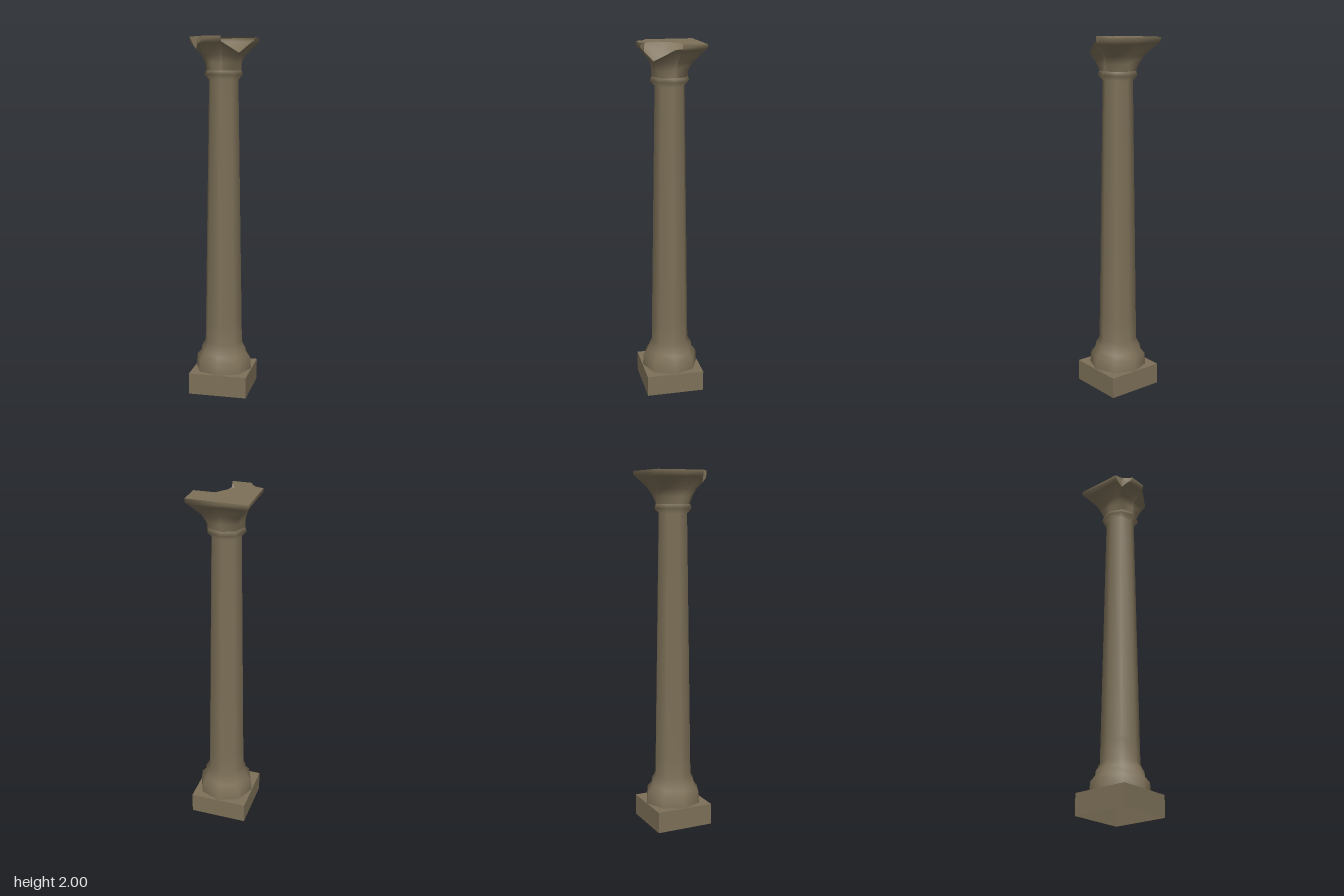
import * as THREE from 'three';

const HALF = 0.165; // half width of plinth and abacus
const RAD = Math.PI / 180;

const stone = new THREE.MeshStandardMaterial({ color: 0x7d7058, side: THREE.DoubleSide });
stone.name = 'weathered stone';

function part(name, geometry) {
  const mesh = new THREE.Mesh(geometry, stone);
  mesh.name = name;
  return mesh;
}

// Flat upward-facing plate from [x, z] corners, with an optional hole
function plate(corners, y, hole) {
  const toPoints = (list) => list.map(([x, z]) => new THREE.Vector2(x, -z));
  const shape = new THREE.Shape(toPoints(corners));
  if (hole) shape.holes.push(new THREE.Path(toPoints(hole)));
  return new THREE.ShapeGeometry(shape).rotateX(-Math.PI / 2).translate(0, y, 0);
}

// Capital sections: height, half width, squareness (0 octagon, 1 square)
const LEVELS = [
  [1.82, 0.1, 0], [1.86, 0.1, 0.4], [1.9, 0.1, 1],
  [1.965, 0.152, 1], [1.98, HALF, 1], [2, HALF, 1],
];

// Point on the capital wall at an angle (from +x toward +z) and a height
function wallPoint(deg, y) {
  let k = 0;
  while (k < LEVELS.length - 2 && y > LEVELS[k + 1][0]) k++;
  const [a, b] = [LEVELS[k], LEVELS[k + 1]];
  const t = (y - a[0]) / (b[0] - a[0]);
  const half = THREE.MathUtils.lerp(a[1], b[1], t);
  const square = THREE.MathUtils.lerp(a[2], b[2], t);
  const c = Math.cos(deg * RAD), s = Math.sin(deg * RAD);
  const offset = (((deg % 45) + 45) % 45) - 22.5;
  const octagon = Math.cos(22.5 * RAD) / Math.cos(offset * RAD);
  const r = half * THREE.MathUtils.lerp(octagon, 1 / Math.max(Math.abs(c), Math.abs(s)), square);
  return [r * c, y, r * s];
}

// Wall rim: angle and height, dipping at the large break and the small chip
const RIM = [
  [-12, 2], [-11.5, 1.975], [0, 1.975], [45, 1.912], [82, 1.97], [83, 2], [90, 2],
  [116.6, 2], [126, 1.96], [137, 1.932], [148, 2], [180, 2], [225, 2], [270, 2], [315, 2], [348, 2],
];

function capitalWall() {
  const positions = [], index = [], rows = LEVELS.length, n = RIM.length - 1;
  for (let i = 0; i < n; i++) {
    const [deg, top] = RIM[i];
    for (const [y] of LEVELS) positions.push(...wallPoint(deg, Math.min(y, top)));
    for (let j = 0; j < rows - 1; j++) {
      const a = i * rows + j, b = ((i + 1) % n) * rows + j;
      index.push(a, a + 1, b, b, a + 1, b + 1);
    }
  }
  const g = new THREE.BufferGeometry();
  g.setAttribute('position', new THREE.Float32BufferAttribute(positions, 3));
  g.setIndex(index);
  g.computeVertexNormals();
  return g;
}

// Sloping fracture between the chipped wall rim and the top face
function chipFace() {
  const B = wallPoint(148, 2), A = wallPoint(116.6, 2);
  const R1 = wallPoint(137, 1.932), R2 = wallPoint(126, 1.96);
  const P = [-0.117, 2, 0.115], Q = [-0.098, 2, 0.138];
  const g = new THREE.BufferGeometry();
  const corners = [B, R1, P, P, R1, R2, P, R2, Q, Q, R2, A];
  g.setAttribute('position', new THREE.Float32BufferAttribute(corners.flat(), 3));
  g.computeVertexNormals();
  return g;
}

export function createModel() {
  const column = new THREE.Group();
  column.name = 'brokenColumn';

  // Hollow square plinth, open underneath
  const sides = new THREE.CylinderGeometry(HALF * Math.SQRT2, HALF * Math.SQRT2, 0.12, 4, 1, true)
    .rotateY(Math.PI / 4).translate(0, 0.06, 0).toNonIndexed();
  sides.computeVertexNormals();
  column.add(part('plinthSides', sides));
  const square = [[-HALF, -HALF], [HALF, -HALF], [HALF, HALF], [-HALF, HALF]];
  const octagon = Array.from({ length: 8 }, (_, i) =>
    [0.163 * Math.cos(i * 45 * RAD), 0.163 * Math.sin(i * 45 * RAD)]);
  column.add(part('plinthTop', plate(square, 0.12, octagon)));

  // Eight-sided base moulding, tapering shaft and neck ring
  const profile = [
    [0.163, 0.12], [0.157, 0.185], [0.132, 0.215], [0.129, 0.24], [0.108, 0.28],
    [0.106, 0.4], [0.083, 1.77], [0.109, 1.797], [0.1, 1.82],
  ].map(([r, y]) => new THREE.Vector2(r, y));
  column.add(part('shaft', new THREE.LatheGeometry(profile, 8)));

  // Flared capital with a broken corner
  const capital = new THREE.Group();
  capital.name = 'capital';
  capital.add(part('capitalWall', capitalWall()));
  const top = [
    [-HALF, -HALF], [HALF, -HALF], [HALF, -0.035], [0.05, -0.033], [-0.022, 0.065], [0.02, HALF],
    [-0.0826, HALF], [-0.098, 0.138], [-0.117, 0.115], [-HALF, 0.103],
  ];
  capital.add(part('capitalTop', plate(top, 2)));
  capital.add(part('chippedCorner', chipFace()));
  column.add(capital);

  return column;
}
